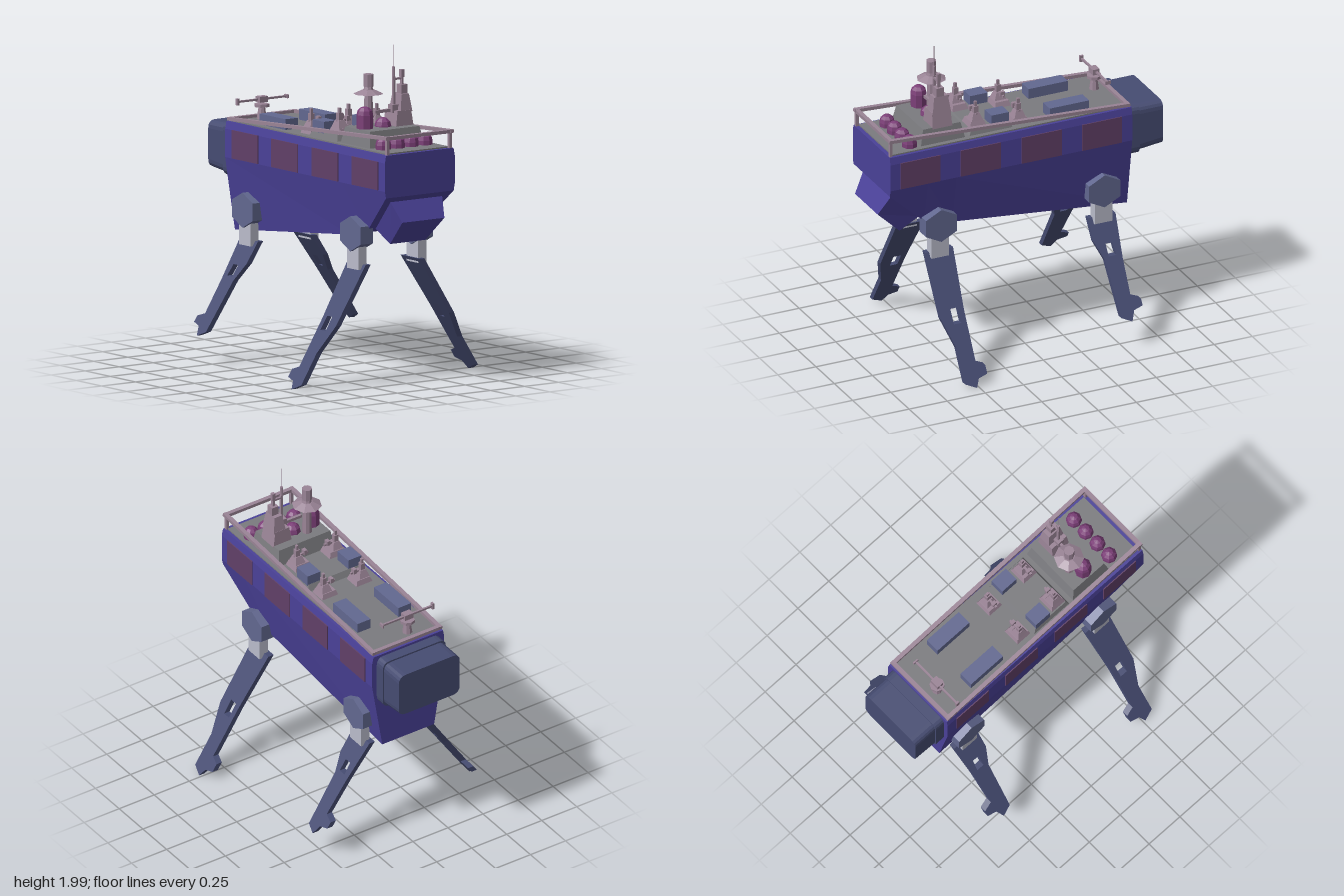
import * as THREE from 'three';

const mat = (name, color) => Object.assign(new THREE.MeshStandardMaterial({ color, flatShading: true }), { name });
const M = {
  hull: mat('hull violet', 0x4a4198), leg: mat('leg slate', 0x464c72), hip: mat('hip slate', 0x626890),
  joint: mat('joint silver', 0xbabccb), deck: mat('deck grey', 0x7b7b7f), trim: mat('trim pink', 0x9a8496),
  dome: mat('dome plum', 0x7c3f78), panel: mat('panel maroon', 0x614068),
};

export function createModel() {
  const root = new THREE.Group();
  root.name = 'walkerShip';
  const add = (name, geo, m, x = 0, y = 0, z = 0, parent = root) => {
    const mesh = new THREE.Mesh(geo, m);
    mesh.name = name;
    mesh.position.set(x, y, z);
    parent.add(mesh);
    return mesh;
  };
  const box = (w, h, d) => new THREE.BoxGeometry(w, h, d);
  const cyl = (rt, rb, h, n = 8) => new THREE.CylinderGeometry(rt, rb, h, n);

  // Skin a row of equal-length convex rings and cap both ends
  const loft = (rings) => {
    const pos = [], n = rings[0].length;
    const tri = (a, b, c) => pos.push(...a, ...b, ...c);
    for (let i = 0; i < rings.length - 1; i++) {
      for (let j = 0; j < n; j++) {
        const k = (j + 1) % n, a = rings[i], b = rings[i + 1];
        tri(a[j], a[k], b[k]);
        tri(a[j], b[k], b[j]);
      }
    }
    const s = rings[0], e = rings[rings.length - 1];
    for (let j = 1; j < n - 1; j++) {
      tri(s[0], s[j + 1], s[j]);
      tri(e[0], e[j], e[j + 1]);
    }
    const g = new THREE.BufferGeometry();
    g.setAttribute('position', new THREE.Float32BufferAttribute(pos, 3));
    g.computeVertexNormals();
    return g;
  };
  // Tapered block standing on y = 0
  const frustum = (w0, d0, w1, d1, h) => loft([[w0, d0, 0], [w1, d1, h]].map(([w, d, y]) =>
    [[1, 1], [1, -1], [-1, -1], [-1, 1]].map(([a, b]) => [a * w / 2, y, b * d / 2])));
  // Symmetric ring from right-hand points [x, y, z], bottom to top
  const mirrored = (pts) => [...pts, ...pts.map(([x, y, z]) => [-x, y, z]).reverse()];

  // Hull
  const halfWidth = (y) => y > 0.92 ? 0.2 + 0.057 * Math.min(1, (y - 0.92) / 0.28) : 0.185 + 0.015 * (y - 0.76) / 0.16;
  add('hull', loft([[-0.7, 0.76], [0.45, 0.882], [0.64, 0.93], [0.885, 1.16]].map(([z, yb]) =>
    mirrored([[halfWidth(yb), yb, z], [0.257, 1.2, z], [0.257, 1.37, z], [0.248, 1.415, z]]))), M.hull);
  // Chin cabin
  add('chinCabin', loft([
    mirrored([[0.15, 0.94, 0.645], [0.19, 1.128, 0.85]]),
    mirrored([[0.13, 0.86, 0.765], [0.155, 1.01, 0.92]]),
  ]), M.hull);
  // Side panels
  for (const s of [-1, 1]) {
    for (const z of [0.69, 0.295, -0.105, -0.5]) add('sidePanel', box(0.008, 0.17, 0.26), M.panel, s * 0.259, 1.287, z);
  }

  // Rear engine: collar and housing with rounded corners
  const roundedBlock = (hw, y0, y1, r, depth) => {
    const s = new THREE.Shape();
    s.moveTo(-hw + r, y0).lineTo(hw - r, y0).quadraticCurveTo(hw, y0, hw, y0 + r).lineTo(hw, y1 - r)
      .quadraticCurveTo(hw, y1, hw - r, y1).lineTo(-hw + r, y1).quadraticCurveTo(-hw, y1, -hw, y1 - r)
      .lineTo(-hw, y0 + r).quadraticCurveTo(-hw, y0, -hw + r, y0);
    return new THREE.ExtrudeGeometry(s, { depth, bevelEnabled: false, curveSegments: 4 });
  };
  add('engineCollar', roundedBlock(0.225, 1.08, 1.4, 0.05, 0.08), M.leg, 0, 0, -0.765);
  const housing = roundedBlock(0.217, 1.09, 1.39, 0.05, 0.165);
  const hp = housing.attributes.position;
  for (let i = 0; i < hp.count; i++) {
    if (hp.getZ(i) < 0.01 && hp.getY(i) < 1.2) hp.setY(i, hp.getY(i) + 0.018);
  }
  housing.computeVertexNormals();
  add('engineHousing', housing, M.leg, 0, 0, -0.922);

  // Deck and raised platforms
  add('deck', box(0.46, 0.012, 1.54), M.deck, 0, 1.417, 0.09);
  add('bridgePlatform', frustum(0.4, 0.29, 0.365, 0.245, 0.1), M.deck, 0, 1.42, 0.513);
  add('gunPlatform', frustum(0.4, 0.285, 0.375, 0.245, 0.04), M.deck, 0, 1.42, 0.198);

  // Sloping rail
  const slope = Math.atan2(0.087, 1.575);
  for (const s of [-1, 1]) {
    add('sideRail', box(0.026, 0.02, 1.58), M.trim, s * 0.236, 1.473, 0.0975).rotation.x = -slope;
    add('railPost', box(0.018, 0.1, 0.018), M.trim, s * 0.23, 1.463, 0.872);
  }
  add('frontRail', box(0.49, 0.02, 0.026), M.trim, 0, 1.515, 0.872);
  add('rearRail', box(0.49, 0.02, 0.026), M.trim, 0, 1.43, -0.678);

  // Domes: a short drum with a rounded cap
  const dome = (x, z, y0, r, h) => add('dome', new THREE.LatheGeometry(
    [[r, 0], [r, h - r], [r * 0.87, h - r * 0.5], [r * 0.5, h - r * 0.13], [0, h]].map(p => new THREE.Vector2(...p)), 8),
  M.dome, x, y0, z);
  for (const x of [-0.143, -0.042, 0.06, 0.162]) dome(x, 0.715, 1.42, 0.047, 0.075);
  dome(-0.13, 0.515, 1.51, 0.05, 0.142);
  dome(0.003, 0.515, 1.51, 0.05, 0.065);

  // Radar mast
  add('radarShaft', cyl(0.024, 0.03, 0.21), M.trim, -0.065, 1.62, 0.463);
  add('radarDish', cyl(0.035, 0.09, 0.025), M.trim, -0.065, 1.727, 0.463);
  add('radarNeck', cyl(0.022, 0.03, 0.03), M.trim, -0.065, 1.752, 0.463);
  add('radarDrum', cyl(0.031, 0.031, 0.075), M.trim, -0.065, 1.795, 0.463);

  // Command tower with aerials
  add('towerFoot', frustum(0.13, 0.13, 0.1, 0.12, 0.1), M.trim, 0.12, 1.51, 0.51);
  add('towerBody', frustum(0.085, 0.12, 0.055, 0.09, 0.105), M.trim, 0.137, 1.6, 0.51);
  add('towerCap', box(0.045, 0.06, 0.05), M.trim, 0.142, 1.73, 0.515);
  add('towerMast', box(0.014, 0.06, 0.018), M.trim, 0.142, 1.79, 0.515);
  add('towerLamp', box(0.022, 0.045, 0.022), M.trim, 0.142, 1.825, 0.515);
  add('towerArm', box(0.13, 0.018, 0.016), M.trim, 0.01, 1.61, 0.51);
  add('aerialMount', box(0.045, 0.05, 0.045), M.trim, 0.08, 1.62, 0.515);
  add('aerialMast', box(0.014, 0.18, 0.016), M.trim, 0.082, 1.72, 0.515);
  add('aerialBrace', box(0.06, 0.012, 0.012), M.trim, 0.11, 1.795, 0.515);
  add('aerialTip', cyl(0.009, 0.009, 0.08, 6), M.trim, 0.08, 1.83, 0.515);
  add('aerial', cyl(0.002, 0.002, 0.14, 4), M.trim, 0.08, 1.93, 0.515);

  // Small deck turrets
  const turret = (x, z, y0) => {
    const g = new THREE.Group(), s = Math.sign(x);
    g.name = 'deckTurret';
    g.position.set(x, y0, z);
    root.add(g);
    add('turretBase', frustum(0.115, 0.105, 0.09, 0.085, 0.035), M.trim, 0, 0, 0, g);
    add('turretBody', frustum(0.07, 0.075, 0.04, 0.04, 0.045), M.trim, s * 0.012, 0.035, 0, g);
    add('turretHead', box(0.028, 0.045, 0.03), M.trim, s * 0.015, 0.1, 0, g);
    add('turretTip', box(0.014, 0.032, 0.018), M.trim, s * 0.015, 0.136, 0, g);
    add('turretArm', box(0.1, 0.012, 0.012), M.trim, -s * 0.015, 0.075, 0, g);
    add('turretSensor', box(0.022, 0.03, 0.03), M.trim, -s * 0.04, 0.085, 0, g);
  };
  for (const s of [-1, 1]) {
    turret(s * 0.122, -0.008, 1.42);
    turret(s * 0.122, 0.272, 1.46);
    // Deck lockers
    add('rearLocker', box(0.092, 0.07, 0.258), M.hip, s * 0.145, 1.452, -0.32);
    add('frontLocker', box(0.092, 0.07, 0.115), M.hip, s * 0.145, 1.487, 0.134);
  }

  // Stern gun
  add('sternGunPost', cyl(0.018, 0.032, 0.09), M.trim, -0.06, 1.46, -0.602);
  add('sternGunDisc', cyl(0.045, 0.045, 0.018), M.trim, -0.06, 1.505, -0.602);
  add('sternGunHead', box(0.06, 0.035, 0.045), M.trim, -0.06, 1.542, -0.602);
  add('sternGunBarrel', box(0.36, 0.012, 0.012), M.trim, -0.057, 1.541, -0.604);
  add('sternGunMuzzle', box(0.014, 0.04, 0.022), M.trim, -0.237, 1.541, -0.604);
  add('sternGunTail', box(0.01, 0.022, 0.035), M.trim, 0.123, 1.541, -0.604);

  // Legs: pierced plates leaning outwards, drawn as [z, y]
  const legShape = (pts, hole) => {
    const toVec = ([z, y]) => new THREE.Vector2(-z, y);
    const s = new THREE.Shape(pts.map(toVec));
    s.holes.push(new THREE.Path(hole.map(toVec)));
    return s;
  };
  const legs = [
    { name: 'frontLeg', z: 0.555, lean: 0.634, shape: legShape(
      [[0.638, 0.725], [0.638, 0.38], [0.583, 0.22], [0.585, 0.04], [0.515, 0.01], [0.49, 0.055], [0.43, 0.07],
        [0.43, 0.115], [0.485, 0.135], [0.48, 0.41], [0.455, 0.725]],
      [[0.565, 0.345], [0.515, 0.345], [0.515, 0.425], [0.565, 0.425]]) },
    { name: 'rearLeg', z: -0.515, lean: 0.67, shape: legShape(
      [[-0.43, 0.725], [-0.43, 0.6], [-0.472, 0.5], [-0.482, 0.21], [-0.547, 0.182], [-0.575, 0.235], [-0.635, 0.25],
        [-0.635, 0.285], [-0.575, 0.305], [-0.585, 0.5], [-0.61, 0.725]],
      [[-0.5, 0.52], [-0.55, 0.52], [-0.545, 0.585], [-0.5, 0.585]]) },
  ];
  for (const { name, z, lean, shape } of legs) {
    for (const s of [-1, 1]) {
      const g = new THREE.ExtrudeGeometry(shape, { depth: 0.038, bevelEnabled: false });
      g.translate(0, 0, -0.019).rotateY(Math.PI / 2);
      const p = g.attributes.position;
      for (let i = 0; i < p.count; i++) p.setX(i, p.getX(i) + s * (0.2 + (0.72 - p.getY(i)) * lean));
      g.computeVertexNormals();
      add(name, g, M.leg);
      add('legJoint', box(0.06, 0.14, 0.115), M.joint, s * 0.22, 0.765, z);
      const hex = cyl(0.105, 0.105, 0.09, 6).rotateY(Math.PI / 6).rotateZ(Math.PI / 2).scale(1, 1, 1.12);
      add('hip', hex, M.hip, s * 0.222, 0.907, z);
    }
  }
  return root;
}
